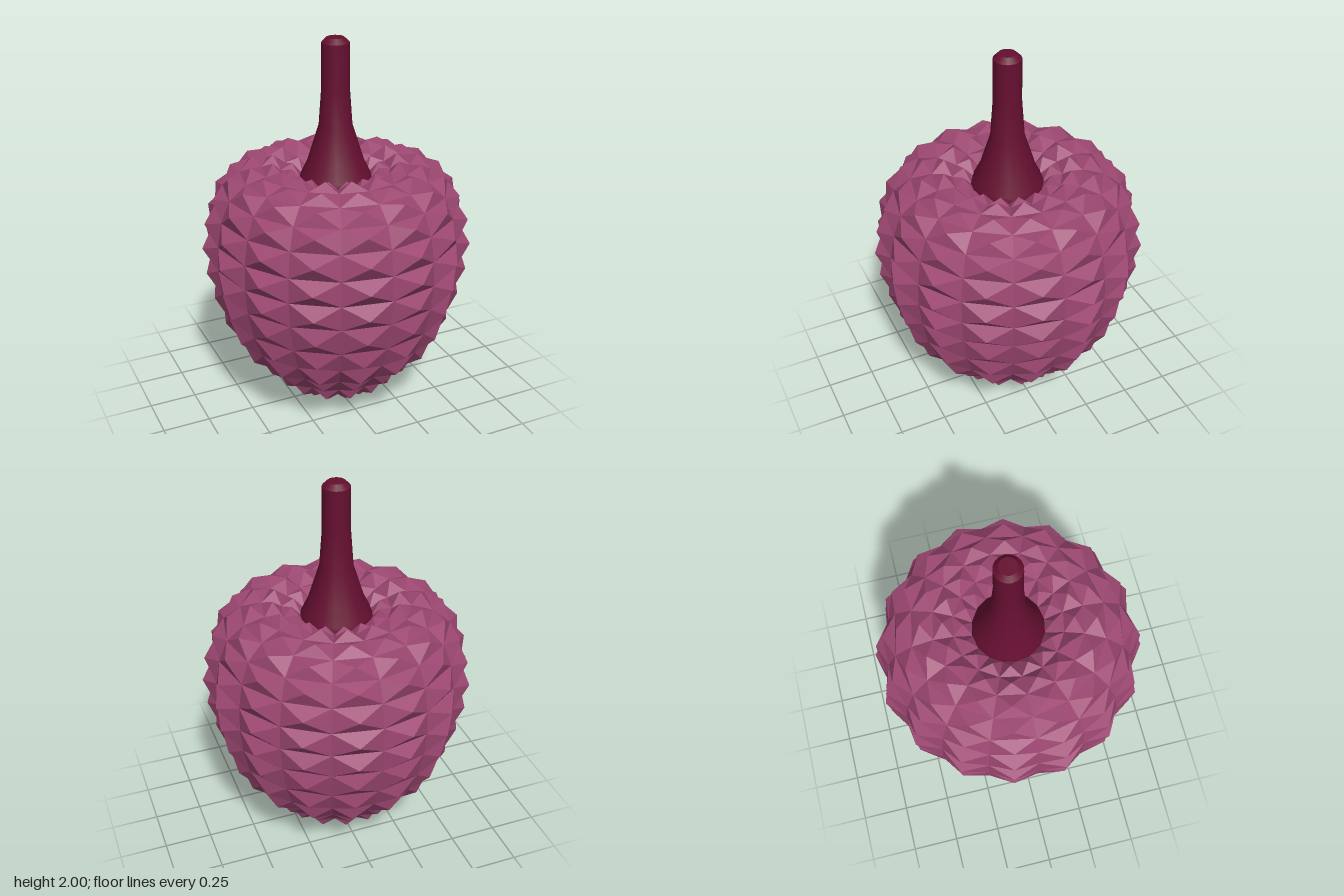
import * as THREE from 'three';

const SIDES = 16;

// Valley rings [radius, y] of the fruit skin, bottom to top
const RINGS = [
  [0, 0.03], [0.08, 0.03], [0.17, 0.06], [0.26, 0.12], [0.355, 0.21], [0.46, 0.33],
  [0.55, 0.45], [0.605, 0.58], [0.64, 0.735], [0.653, 0.87], [0.648, 1.0],
  [0.625, 1.13], [0.58, 1.24], [0.49, 1.31], [0.38, 1.335], [0.28, 1.315], [0.18, 1.265], [0, 1.25],
];
// Spike tips [radius, y], one row between each pair of rings
const TIPS = [
  [0.047, 0], [0.135, 0.02], [0.226, 0.065], [0.328, 0.13], [0.42, 0.24], [0.527, 0.35],
  [0.602, 0.49], [0.653, 0.65], [0.688, 0.8], [0.703, 0.945], [0.685, 1.08],
  [0.637, 1.21], [0.556, 1.31], [0.438, 1.36], [0.325, 1.375], [0.225, 1.335], [0.09, 1.27],
];

const at = ([r, y], step) => {
  const a = (step / SIDES) * Math.PI * 2;
  return [r * Math.sin(a), y, r * Math.cos(a)];
};

// Every cell of the skin is a four-sided pyramid
function spikyGeometry() {
  const pos = [];
  for (let i = 0; i < TIPS.length; i++) {
    for (let j = 0; j < SIDES; j++) {
      const tip = at(TIPS[i], j + 0.5);
      const corners = [
        at(RINGS[i], j), at(RINGS[i], j + 1),
        at(RINGS[i + 1], j + 1), at(RINGS[i + 1], j),
      ];
      for (let k = 0; k < 4; k++) {
        // skip the collapsed edge at the poles
        if ((k === 0 && RINGS[i][0] === 0) || (k === 2 && RINGS[i + 1][0] === 0)) continue;
        pos.push(...corners[k], ...corners[(k + 1) % 4], ...tip);
      }
    }
  }
  const geo = new THREE.BufferGeometry();
  geo.setAttribute('position', new THREE.Float32BufferAttribute(pos, 3));
  geo.computeVertexNormals();
  return geo;
}

const lathe = (points) =>
  new THREE.LatheGeometry(points.map(([r, y]) => new THREE.Vector2(r, y)), SIDES);

export function createModel() {
  const group = new THREE.Group();
  const skin = new THREE.MeshStandardMaterial({ color: 0x9c4771, flatShading: true });
  const wood = new THREE.MeshStandardMaterial({ color: 0x650f30 });

  const add = (name, geometry, material) => {
    const mesh = new THREE.Mesh(geometry, material);
    mesh.name = name;
    group.add(mesh);
  };

  add('spikyFruit', spikyGeometry(), skin);

  // Stem flares where it sinks into the dimple
  add('stem', lathe([[0.185, 1.27], [0.18, 1.3], [0.145, 1.37], [0.085, 1.56], [0.071, 1.75], [0.07, 1.975]]), wood);
  add('stemBevel', lathe([[0.07, 1.975], [0.045, 2]]), wood);
  add('stemTip', lathe([[0.045, 2], [0, 2]]), wood);

  return group;
}
